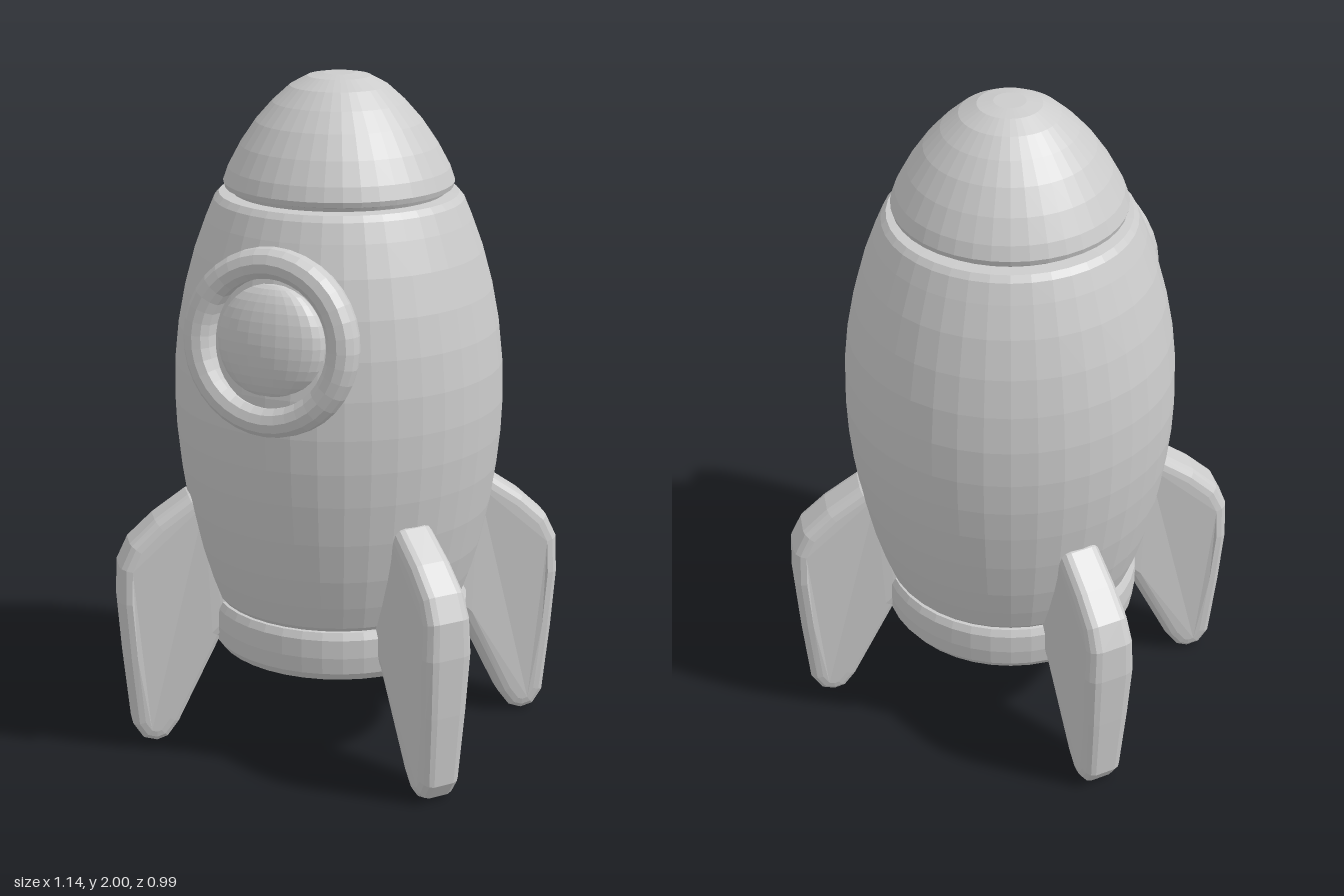
import * as THREE from 'three';

const material = new THREE.MeshStandardMaterial({ color: 0xcccccc, flatShading: true });
const AXIS_Z = -0.01; // the hull sits slightly behind the centre

function part(name, geometry, parent) {
  const mesh = new THREE.Mesh(geometry, material);
  mesh.name = name;
  parent.add(mesh);
  return mesh;
}

// Surface of revolution from [radius, height] pairs, listed bottom to top
function lathe(profile, segments = 40) {
  return new THREE.LatheGeometry(profile.map(([r, y]) => new THREE.Vector2(r, y)), segments);
}

// Rounded fin plate: radius along x, height along y, thinner towards both ends
function finGeometry() {
  const outline = [
    [0.33, 0.37], [0.37, 0.33], [0.5, 0.06], [0.535, 0.012], [0.57, 0], [0.61, 0.012],
    [0.64, 0.06], [0.66, 0.28], [0.672, 0.46], [0.668, 0.57], [0.635, 0.64],
    [0.56, 0.71], [0.46, 0.78], [0.42, 0.79], [0.33, 0.79],
  ];
  const shape = new THREE.Shape(outline.map(([r, y]) => new THREE.Vector2(r, y)));
  const geometry = new THREE.ExtrudeGeometry(shape, {
    depth: 0.08, bevelThickness: 0.036, bevelSize: 0.036, bevelOffset: -0.036, bevelSegments: 3,
  });
  geometry.translate(0, 0, -0.04);
  const p = geometry.attributes.position;
  for (let i = 0; i < p.count; i++) {
    const y = p.getY(i);
    const taper = y < 0.45 ? 0.75 + 0.25 * (y / 0.45) : 1 - 0.2 * ((y - 0.45) / 0.34);
    p.setZ(i, p.getZ(i) * taper);
  }
  geometry.computeVertexNormals();
  return geometry;
}

export function createModel() {
  const rocket = new THREE.Group();
  rocket.name = 'rocket';

  const hull = new THREE.Group();
  hull.name = 'hull';
  hull.position.z = AXIS_Z;
  rocket.add(hull);

  // Barrel-shaped body, closed at both ends
  part('body', lathe([
    [0, 0.44], [0.36, 0.44], [0.376, 0.46], [0.4, 0.53], [0.425, 0.62], [0.45, 0.74], [0.468, 0.86],
    [0.478, 0.96], [0.482, 1.06], [0.479, 1.17], [0.467, 1.28], [0.446, 1.39], [0.416, 1.5],
    [0.383, 1.59], [0.36, 1.645], [0.345, 1.662], [0.31, 1.665], [0, 1.665],
  ]), hull);

  // Nose cone with a rounded lip
  part('noseCone', lathe([
    [0, 1.65], [0.3, 1.65], [0.312, 1.676], [0.328, 1.68], [0.332, 1.695], [0.318, 1.735],
    [0.283, 1.8], [0.238, 1.866], [0.19, 1.92], [0.14, 1.965], [0.09, 1.992], [0.045, 2], [0, 2],
  ]), hull);

  // Hollow collar around the engine
  part('engineCollar', lathe([
    [0.285, 0.45], [0.29, 0.33], [0.305, 0.3], [0.335, 0.29], [0.365, 0.296], [0.382, 0.32],
    [0.388, 0.37], [0.386, 0.425], [0.375, 0.446], [0.345, 0.45], [0.285, 0.45],
  ]), hull);

  // Shallow dome inside the collar
  part('engineDome', lathe([
    [0, 0.25], [0.05, 0.262], [0.12, 0.285], [0.19, 0.315], [0.25, 0.36], [0.295, 0.42],
  ], 28), hull);

  // Four fins, mirrored left to right and front to back
  const fin = finGeometry();
  const spread = THREE.MathUtils.degToRad(37);
  [['frontLeftFin', -spread], ['backLeftFin', spread],
    ['frontRightFin', Math.PI + spread], ['backRightFin', Math.PI - spread]]
    .forEach(([name, angle]) => { part(name, fin, hull).rotation.y = angle; });

  // Porthole leaning back with the hull
  const porthole = new THREE.Group();
  porthole.name = 'porthole';
  porthole.position.set(0, 1.32, 0.435);
  porthole.rotation.x = -0.1;
  rocket.add(porthole);

  const ring = lathe([
    [0.18, -0.055], [0.235, -0.055], [0.255, -0.04], [0.265, -0.01], [0.262, 0.016], [0.247, 0.036],
    [0.222, 0.044], [0.197, 0.038], [0.18, 0.02], [0.18, -0.055],
  ], 36);
  ring.rotateX(Math.PI / 2);
  part('portholeRing', ring, porthole);

  const glass = new THREE.SphereGeometry(1, 24, 16);
  glass.scale(0.163, 0.163, 0.065);
  part('portholeGlass', glass, porthole).position.z = -0.01;

  return rocket;
}
